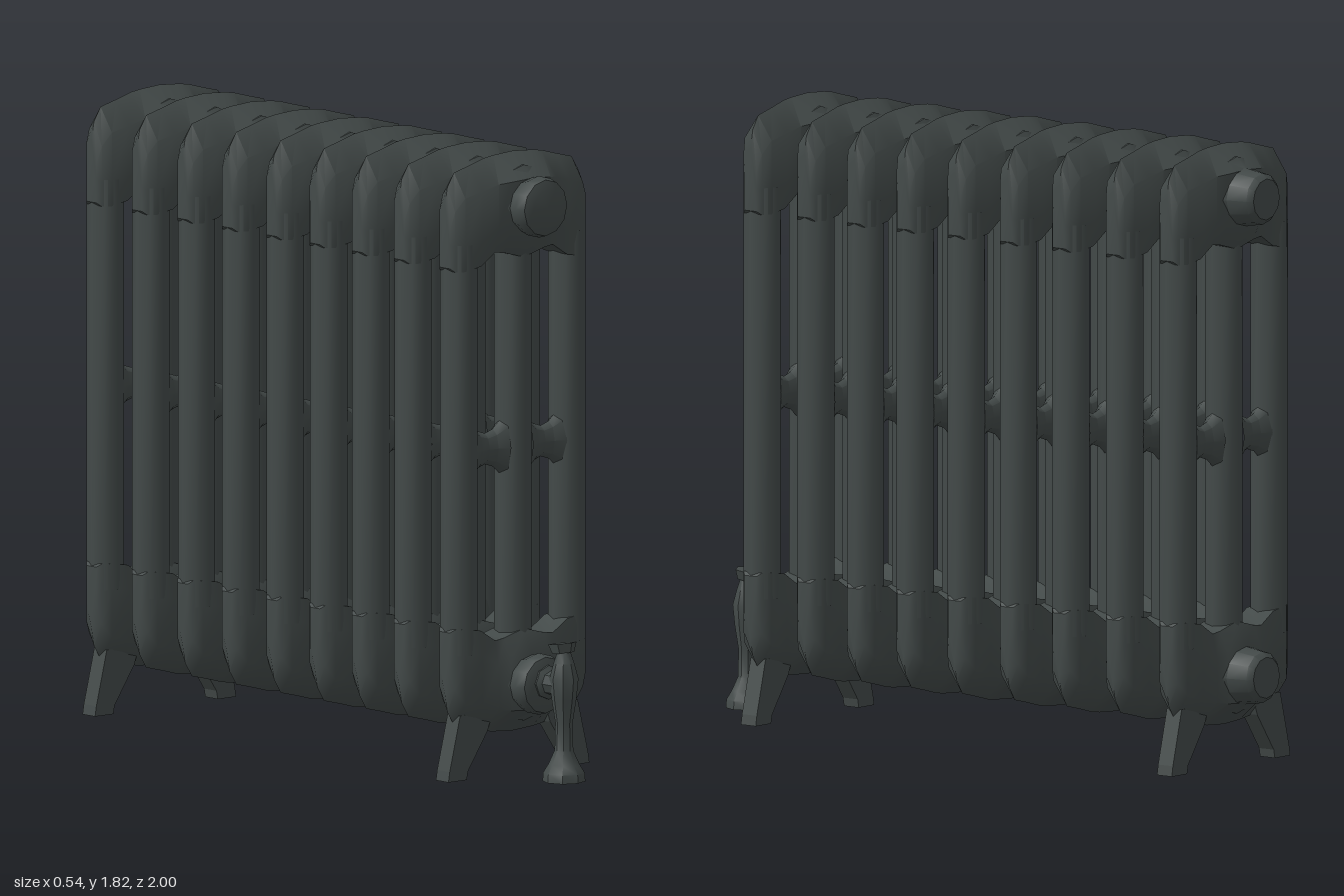
import * as THREE from 'three';
import { toCreasedNormals } from 'three/addons/utils/BufferGeometryUtils.js';

const castIron = new THREE.MeshStandardMaterial({ color: 0x434a49 });
castIron.name = 'cast iron';

const MID = 0.9675;      // height about which the top and bottom headers mirror
const HUB_Y = 1.665;     // height of the upper hub line
const SECTIONS = [0.71, 0.51, 0.325, 0.14, -0.05, -0.245, -0.44, -0.64, -0.84];

const crease = (geo, angle = 0.75) => toCreasedNormals(geo, angle);

function add(parent, name, geo, x = 0, y = 0, z = 0) {
  const mesh = new THREE.Mesh(geo, castIron);
  mesh.name = name;
  mesh.position.set(x, y, z);
  parent.add(mesh);
  return mesh;
}

// Header lofted along x: ridged on top, flat-sided, narrowing to the ends
function headerGeometry() {
  const half = [ // x, ridge height, underside height, half depth
    [0, 1.815, 1.51, 0.085], [0.075, 1.81, 1.53, 0.08], [0.11, 1.805, 1.535, 0.065],
    [0.165, 1.79, 1.50, 0.058], [0.225, 1.775, 1.49, 0.05], [0.25, 1.735, 1.49, 0.034],
    [0.26, 1.68, 1.50, 0.022],
  ];
  const stations = [...half.slice(1).reverse().map(([x, ...r]) => [-x, ...r]), ...half];
  const pos = [], index = [], n = 7;
  for (const [x, t, b, d] of stations) {
    const ring = [[t, 0], [t - 0.07, d], [b + 0.07, d], [b, Math.min(d, 0.05)]];
    for (const [y, z] of ring) pos.push(x, y - MID, z);
    for (const [y, z] of ring.slice(1).reverse()) pos.push(x, y - MID, -z);
  }
  const last = (stations.length - 1) * n;
  for (let i = 0; i < last; i += n) {
    for (let j = 0; j < n; j++) {
      const k = (j + 1) % n;
      index.push(i + j, i + k, i + n + j, i + k, i + n + k, i + n + j);
    }
  }
  for (let j = 1; j < n - 1; j++) {
    index.push(0, j + 1, j, last, last + j, last + j + 1);
  }
  const geo = new THREE.BufferGeometry();
  geo.setAttribute('position', new THREE.Float32BufferAttribute(pos, 3));
  geo.setIndex(index);
  return crease(geo);
}

// Turned profile given as [radius, height] pairs
function turned(points, sides) {
  return crease(new THREE.LatheGeometry(points.map(([r, y]) => new THREE.Vector2(r, y)), sides));
}

// Connecting pipe through all sections: swells at each, necks between them
function hubGeometry() {
  const pts = [[0, -1], [0.06, -1], [0.075, -0.985], [0.085, -0.92]];
  const zs = [...SECTIONS].reverse();
  zs.forEach((z, i) => {
    pts.push([0.115, z - 0.05], [0.115, z + 0.05]);
    if (i < zs.length - 1) {
      const m = (z + zs[i + 1]) / 2;
      pts.push([0.08, m - 0.02], [0.08, m + 0.02]);
    }
  });
  pts.push([0.08, 0.79], [0.09, 0.825], [0.082, 0.855], [0.055, 0.865], [0, 0.865]);
  return turned(pts, 12).rotateX(Math.PI / 2);
}

function legGeometry() {
  const shape = new THREE.Shape();
  [[0.2, 0], [0.27, 0], [0.265, 0.03], [0.225, 0.19], [0.1, 0.19], [0.12, 0.135], [0.195, 0.025]]
    .forEach(([x, y], i) => (i ? shape.lineTo(x, y) : shape.moveTo(x, y)));
  return new THREE.ExtrudeGeometry(shape, { depth: 0.055, bevelEnabled: false })
    .translate(0, 0, -0.0275);
}

function buildValve() {
  const valve = new THREE.Group();
  valve.name = 'valve';
  // Foot flange and waisted riser
  add(valve, 'valveRiser', turned([
    [0, 0], [0.062, 0], [0.06, 0.025], [0.045, 0.05], [0.027, 0.09], [0.025, 0.17],
    [0.036, 0.24], [0.042, 0.3], [0.03, 0.345], [0.018, 0.38], [0, 0.385],
  ], 8), 0, 0, 0.935);
  // Union joining the riser to the radiator
  add(valve, 'valveUnion', turned([
    [0, -0.06], [0.05, -0.06], [0.05, -0.01], [0.036, 0.0], [0.034, 0.06], [0, 0.06],
  ], 8).rotateX(Math.PI / 2), 0, 0.28, 0.88);
  // Handle
  const handle = add(valve, 'valveHandle',
    crease(new THREE.CylinderGeometry(0.042, 0.032, 0.028, 6)), 0, 0.388, 0.93);
  handle.rotation.x = -0.15;
  return valve;
}

export function createModel() {
  const model = new THREE.Group();
  model.name = 'radiator';

  const header = headerGeometry();
  const column = crease(new THREE.CylinderGeometry(0.052, 0.052, 1.2, 8, 1, true), 1);
  const bar = turned([[0.085, -0.065], [0.055, -0.03], [0.045, 0], [0.055, 0.03], [0.085, 0.065]], 8)
    .rotateZ(Math.PI / 2).scale(1, 1, 0.5);
  const leg = legGeometry();

  SECTIONS.forEach((z, i) => {
    const section = new THREE.Group();
    section.name = 'section' + (i + 1);
    section.position.z = z;
    model.add(section);

    add(section, 'topHeader', header, 0, MID);
    add(section, 'bottomHeader', header, 0, MID).rotation.z = Math.PI;

    for (const x of [-0.207, 0, 0.207]) {
      add(section, 'column', column, x, MID).scale.z = 1.08;
    }
    for (const x of [-0.107, 0.107]) add(section, 'crossBar', bar, x, 0.955);

    // Feet under the end sections only
    if (i === 0 || i === SECTIONS.length - 1) {
      add(section, 'leftLeg', leg);
      add(section, 'rightLeg', leg).rotation.y = Math.PI;
    }
  });

  const hub = hubGeometry();
  add(model, 'topHub', hub, 0, HUB_Y);
  add(model, 'bottomHub', hub, 0, 2 * MID - HUB_Y);
  model.add(buildValve());
  return model;
}
